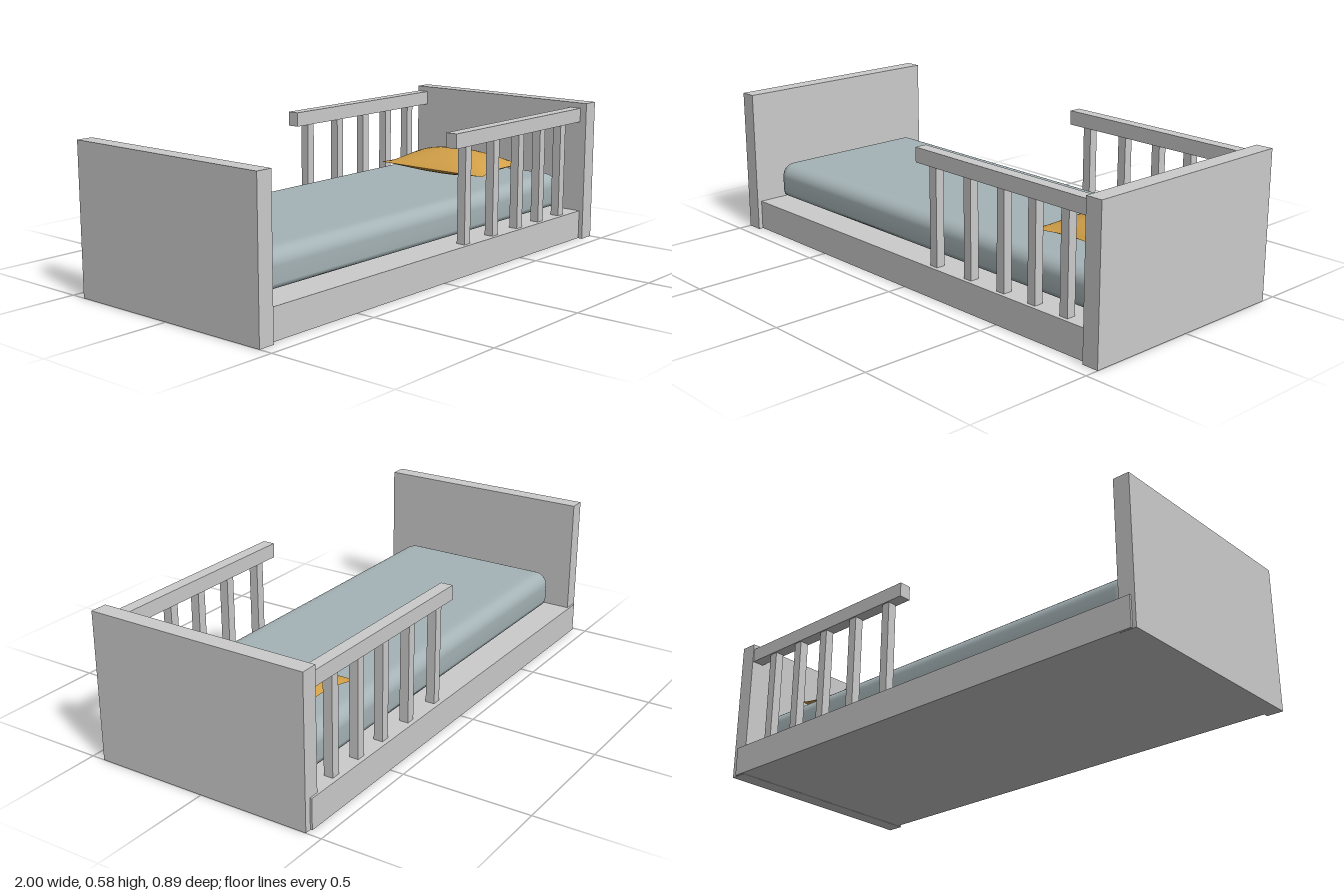
import * as THREE from 'three';

const material = (name, color) => {
  const m = new THREE.MeshStandardMaterial({ color });
  m.name = name;
  return m;
};

// Box given by its min and max corners
function box(parent, name, mat, [x0, x1], [y0, y1], [z0, z1]) {
  const mesh = new THREE.Mesh(new THREE.BoxGeometry(x1 - x0, y1 - y0, z1 - z0), mat);
  mesh.position.set((x0 + x1) / 2, (y0 + y1) / 2, (z0 + z1) / 2);
  mesh.name = name;
  parent.add(mesh);
}

// Stacked rounded rectangles, each level given as [inset, y]
function roundedSlab(halfX, halfZ, radius, levels, cornerSteps = 6) {
  const positions = [], index = [];
  const count = 4 * (cornerSteps + 1);
  for (const [inset, y] of levels) {
    const r = Math.max(radius - inset, 0.008);
    for (let corner = 0; corner < 4; corner++) {
      const sx = corner === 0 || corner === 3 ? 1 : -1;
      const sz = corner < 2 ? -1 : 1;
      for (let s = 0; s <= cornerSteps; s++) {
        const a = (corner + s / cornerSteps) * Math.PI / 2;
        positions.push(sx * (halfX - inset - r) + r * Math.cos(a), y,
          sz * (halfZ - inset - r) - r * Math.sin(a));
      }
    }
  }
  const bottom = levels.length * count, top = bottom + 1;
  positions.push(0, levels[0][1], 0, 0, levels[levels.length - 1][1], 0);
  for (let i = 0; i < count; i++) {
    const j = (i + 1) % count;
    for (let k = 0; k < levels.length - 1; k++) {
      const a = k * count + i, b = k * count + j;
      index.push(a, b, b + count, a, b + count, a + count);
    }
    const last = (levels.length - 1) * count;
    index.push(bottom, j, i, top, last + i, last + j);
  }
  const geometry = new THREE.BufferGeometry();
  geometry.setAttribute('position', new THREE.Float32BufferAttribute(positions, 3));
  geometry.setIndex(index);
  geometry.computeVertexNormals();
  return geometry;
}

// One face of the pillow: a sheet bulged up or down from the seam
function pillowSheet(side) {
  const geometry = new THREE.PlaneGeometry(2, 2, 14, 14);
  geometry.rotateX(-side * Math.PI / 2);
  const p = geometry.attributes.position;
  for (let i = 0; i < p.count; i++) {
    const u = p.getX(i), v = p.getZ(i);
    const across = Math.pow(Math.max(1 - v * v, 0), 0.6);
    const along = Math.max(1 - u * u, 0) * (side > 0 ? 1 + 0.5 * u : 1);
    const bulge = (side > 0 ? 0.054 : 0.038) * Math.pow(along, 0.75) * across;
    const pinch = 0.235 + 0.03 * u * u;
    p.setXYZ(i, 0.145 * u, side * bulge + 0.006 * u, v * pinch);
  }
  geometry.computeVertexNormals();
  return geometry;
}

export function createModel() {
  const bed = new THREE.Group();
  bed.name = 'bed';
  const frameGrey = material('frame grey', 0xcccccc);
  const mattressBlue = material('mattress blue grey', 0xa6b4b7);
  const pillowGold = material('pillow gold', 0xd2a048);

  // Base and end boards
  box(bed, 'base', frameGrey, [-0.985, 0.975], [0.001, 0.119], [-0.447, 0.428]);
  box(bed, 'footboard', frameGrey, [-1, -0.935], [0, 0.577], [-0.439, 0.446]);
  box(bed, 'headboard', frameGrey, [0.933, 1], [0, 0.577], [-0.439, 0.446]);

  // Guard rails with five slats on each side
  for (const [name, z] of [['leftGuard', 0.394], ['rightGuard', -0.411]]) {
    const guard = new THREE.Group();
    guard.name = name;
    box(guard, 'topRail', frameGrey, [0.07, 0.933], [0.498, 0.555], [z - 0.024, z + 0.024]);
    for (const x of [0.156, 0.339, 0.508, 0.66, 0.812]) {
      box(guard, 'slat', frameGrey, [x - 0.018, x + 0.018], [0.119, 0.5], [z - 0.018, z + 0.018]);
    }
    bed.add(guard);
  }

  // Mattress with a rounded upper edge
  const levels = [[0.004, 0.144], [0, 0.16]];
  for (let i = 0; i <= 6; i++) {
    const a = i / 6 * Math.PI / 2;
    levels.push([0.055 * (1 - Math.cos(a)), 0.22 + 0.054 * Math.sin(a)]);
  }
  levels.push([0.08, 0.275]);
  const mattress = new THREE.Mesh(roundedSlab(0.92, 0.354, 0.06, levels), mattressBlue);
  mattress.position.set(-0.004, 0, -0.006);
  mattress.name = 'mattress';
  bed.add(mattress);

  // Pillow made of an upper and a lower sheet
  const pillow = new THREE.Group();
  pillow.name = 'pillow';
  for (const [name, side] of [['pillowTop', 1], ['pillowUnderside', -1]]) {
    const sheet = new THREE.Mesh(pillowSheet(side), pillowGold);
    sheet.name = name;
    pillow.add(sheet);
  }
  pillow.position.set(0.635, 0.312, -0.025);
  bed.add(pillow);

  return bed;
}
